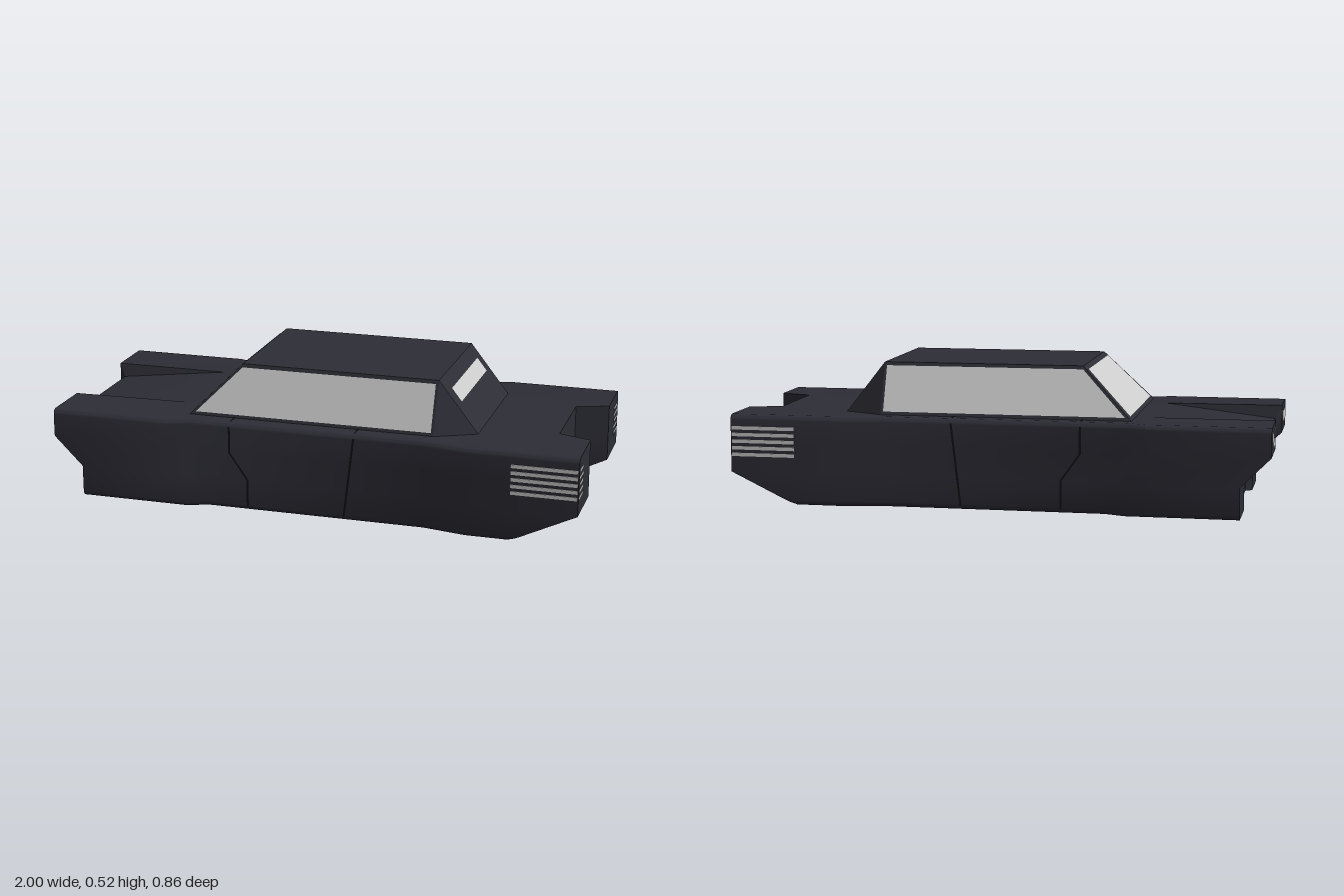
import * as THREE from 'three';
import { toCreasedNormals } from 'three/addons/utils/BufferGeometryUtils.js';
import { ConvexGeometry } from 'three/addons/geometries/ConvexGeometry.js';

const paint = new THREE.MeshStandardMaterial({ color: 0x2d2d36 });
const seam = new THREE.MeshStandardMaterial({ color: 0x121216, side: THREE.DoubleSide });
const light = new THREE.MeshStandardMaterial({ color: 0xcccccc, side: THREE.DoubleSide });

function add(parent, name, geometry, material) {
  const mesh = new THREE.Mesh(geometry, material);
  mesh.name = name;
  parent.add(mesh);
  return mesh;
}

function bar(parent, name, size, pos) {
  add(parent, name, new THREE.BoxGeometry(...size), light).position.set(...pos);
}

// Flat four-cornered panel
function panel(parent, name, corners, material) {
  const g = new THREE.BufferGeometry();
  g.setAttribute('position', new THREE.Float32BufferAttribute(corners.flat(), 3));
  g.setIndex([0, 1, 2, 0, 2, 3]);
  g.computeVertexNormals();
  return add(parent, name, g, material);
}

// Lower body: a box lattice whose vertices are moved to stations, levels and columns
function bodyGeometry() {
  const r = 0.02, q = 0.586 * r, H = 0.335;
  const levels = [0, q, r, 0.12, 0.23, H - r, H - q, H];
  const stationX = [-1, -0.55, -0.475, 0.43, 0.59, 1];
  const halfWidth = [0.43, 0.43, 0.4, 0.4, 0.43, 0.43];
  const nx = 5, ny = 7, nz = 9;
  const g = new THREE.BoxGeometry(1, 1, 1, nx, ny, nz);
  const p = g.attributes.position;
  for (let v = 0; v < p.count; v++) {
    const i = Math.round((p.getX(v) + 0.5) * nx);
    const j = Math.round((p.getY(v) + 0.5) * ny);
    const k = Math.round((p.getZ(v) + 0.5) * nz);
    const w = halfWidth[i];
    const notch = i < 2 ? [0.215, 0.2] : [0.21, 0.168];
    const column = [w, w - q, w - r, ...notch][Math.min(k, nz - k)];
    const side = k < nz / 2 ? -1 : 1;
    const inner = k === 4 || k === 5;
    let x = stationX[i], y = levels[j], z = column;

    // lower half steps along x; ends are undercut and notched in the middle
    const low = THREE.MathUtils.clamp((0.23 - y) / 0.11, 0, 1);
    if (i === 0) x = -1 + 0.11 * low + (inner ? 0.025 : 0);
    if (i === 1 || i === 2) x += 0.075 * low;
    if (i === nx) {
      x = inner ? 0.88 : 1;
      if (y < 0.12) x = 0.75 + (x - 0.75) * y / 0.12;
    }
    // rounded long edges
    const cy = y < H / 2 ? r : H - r, cz = w - r;
    const a = y < H / 2 ? cy - y : y - cy, b = z - cz;
    if (a >= 0 && b >= 0 && Math.max(a, b) > r * 0.99) {
      const s = r / Math.hypot(a, b);
      y = cy + (y - cy) * s;
      z = cz + b * s;
    }
    // sunken hood between the fenders
    if (i === 0 && inner && j >= 5) y -= 0.05;
    p.setXYZ(v, x, y, z * side);
  }
  return toCreasedNormals(g, 0.5);
}

function createCabin() {
  const cabin = new THREE.Group();
  cabin.name = 'cabin';
  const points = [];
  for (const s of [1, -1]) {
    for (const [x, y, z] of [[-0.3, 0.525, 0.26], [0.45, 0.525, 0.26], [-0.49, 0.333, 0.336],
      [0.45, 0.333, 0.336], [0.6, 0.333, 0.26]]) points.push(new THREE.Vector3(x, y, z * s));
  }
  add(cabin, 'cabinShell', new ConvexGeometry(points), paint);

  // Glass lies just outside the sloping shell faces
  const t = (y) => (0.525 - y) / 0.192;
  const sideZ = (y) => 0.264 + 0.076 * t(y);
  const frontX = (y) => -0.304 - 0.19 * t(y);
  const rearX = (y) => 0.454 + 0.15 * t(y);
  const lo = 0.347, hi = 0.513;
  for (const s of [1, -1]) {
    const c = [[frontX(lo) + 0.016, lo, s * sideZ(lo)], [0.44, lo, s * sideZ(lo)],
      [0.44, hi, s * sideZ(hi)], [frontX(hi) + 0.016, hi, s * sideZ(hi)]];
    panel(cabin, 'sideWindow', s > 0 ? c : c.reverse(), light);
  }
  panel(cabin, 'windshield', [[frontX(lo), lo, -0.305], [frontX(lo), lo, 0.305],
    [frontX(hi), hi, 0.25], [frontX(hi), hi, -0.25]], light);
  panel(cabin, 'rearWindow', [[rearX(0.435), 0.435, 0.21], [rearX(0.435), 0.435, -0.21],
    [rearX(0.485), 0.485, -0.21], [rearX(0.485), 0.485, 0.21]], light);
  return cabin;
}

export function createModel() {
  const car = new THREE.Group();
  car.name = 'car';
  add(car, 'body', bodyGeometry(), paint);
  car.add(createCabin());

  const doorLines = [
    [[-0.31, 0.32], [-0.31, 0.22], [-0.24, 0.12], [-0.24, 0.015]],
    [[0.168, 0.32], [0.132, 0.015]],
  ];
  for (const s of [1, -1]) {
    // Door seams down the side and across the sill
    const h = 0.004;
    for (const line of doorLines) {
      for (let n = 0; n + 1 < line.length; n++) {
        const [[x0, y0], [x1, y1]] = [line[n], line[n + 1]];
        const z = s * 0.4015;
        const c = [[x0 - h, y0, z], [x1 - h, y1, z], [x1 + h, y1, z], [x0 + h, y0, z]];
        panel(car, 'doorSeam', s > 0 ? c : c.reverse(), seam);
      }
      const x = line[0][0];
      const c = [[x - h, 0.3365, s * 0.335], [x - h, 0.3365, s * 0.385],
        [x + h, 0.3365, s * 0.385], [x + h, 0.3365, s * 0.335]];
      panel(car, 'sillSeam', s > 0 ? c : c.reverse(), seam);
    }
    // Slatted lamps wrapping the tail corners, upright slats on the nose
    for (let n = 0; n < 5; n++) {
      const y = 0.185 + n * 0.025;
      bar(car, 'tailSideSlat', [0.24, 0.013, 0.006], [0.876, y, s * 0.429]);
      bar(car, 'tailEndSlat', [0.006, 0.013, 0.08], [0.998, y, s * 0.38]);
      bar(car, 'noseSlat', [0.006, 0.062, 0.015], [-0.999, 0.283, s * (0.252 + n * 0.036)]);
    }
  }
  return car;
}
